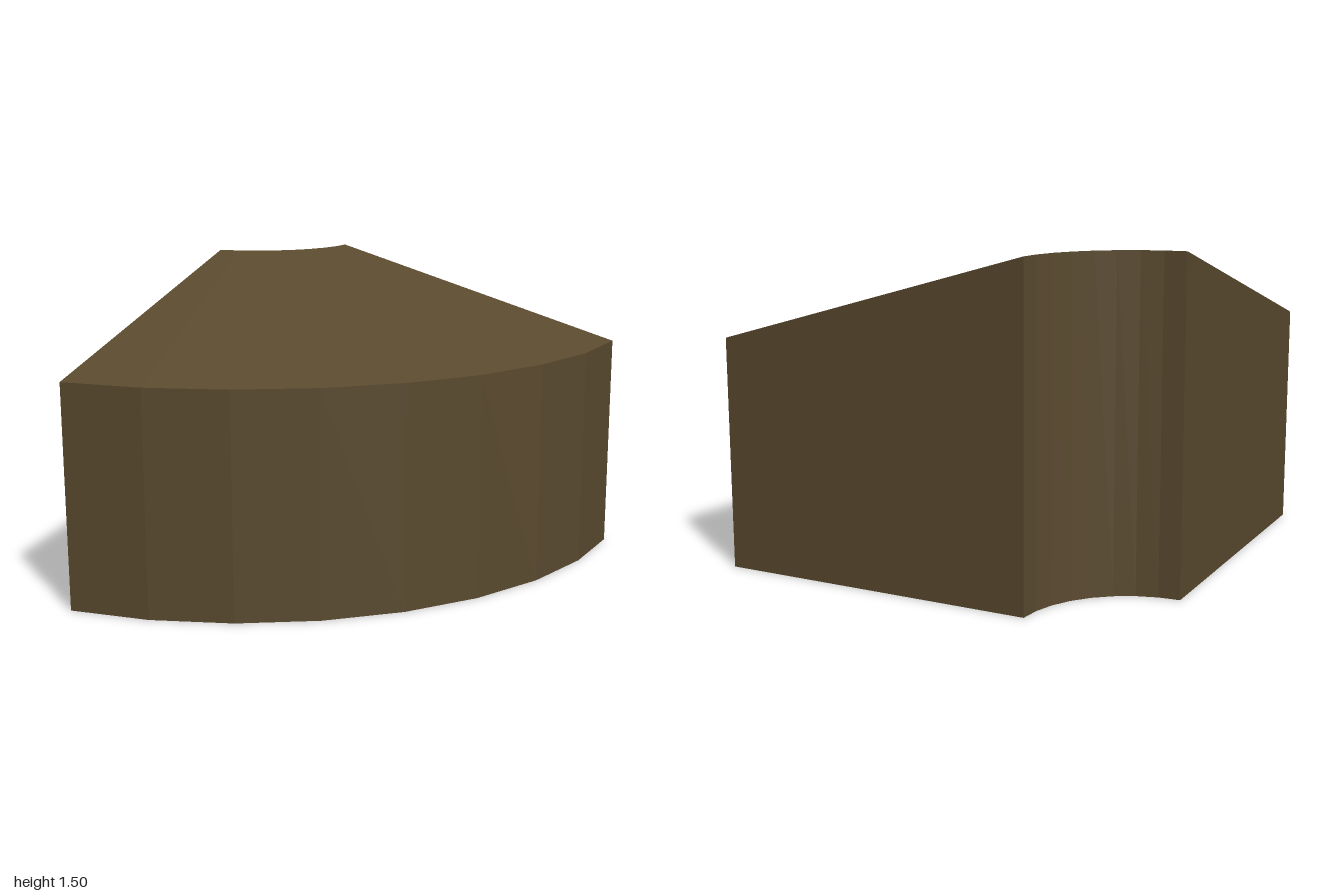
import * as THREE from 'three';

const SEGMENTS = 8;
// Cross-section as [radius, height], counter-clockwise
const PROFILE = [[0.5, 0], [2, 0], [2, 1.07], [0.5, 1.5]];

export function createModel() {
  const model = new THREE.Group();
  model.name = 'quarterRingBlock';
  const brown = new THREE.MeshStandardMaterial({ color: 0x5a4a2f });
  brown.name = 'darkBrown';

  const add = (name, geometry) => {
    const mesh = new THREE.Mesh(geometry, brown);
    mesh.name = name;
    mesh.position.set(-1, 0, -1); // the ring's axis is the back right corner
    model.add(mesh);
  };

  // Swept faces: base, outer wall, sloping top and inner wall, all faceted
  const loop = [...PROFILE, PROFILE[0]].map(([r, y]) => new THREE.Vector2(r, y));
  const sweep = new THREE.LatheGeometry(loop, SEGMENTS, 0, Math.PI / 2).toNonIndexed();
  sweep.computeVertexNormals();
  add('curvedBody', sweep);

  // Flat end faces where the ring is cut
  const endFace = (side, angle) => {
    const shape = new THREE.Shape(PROFILE.map(([r, y]) => new THREE.Vector2(side * r, y)));
    return new THREE.ShapeGeometry(shape).rotateY(angle);
  };
  add('rightEnd', endFace(1, -Math.PI / 2));
  add('backEnd', endFace(-1, Math.PI));

  return model;
}
